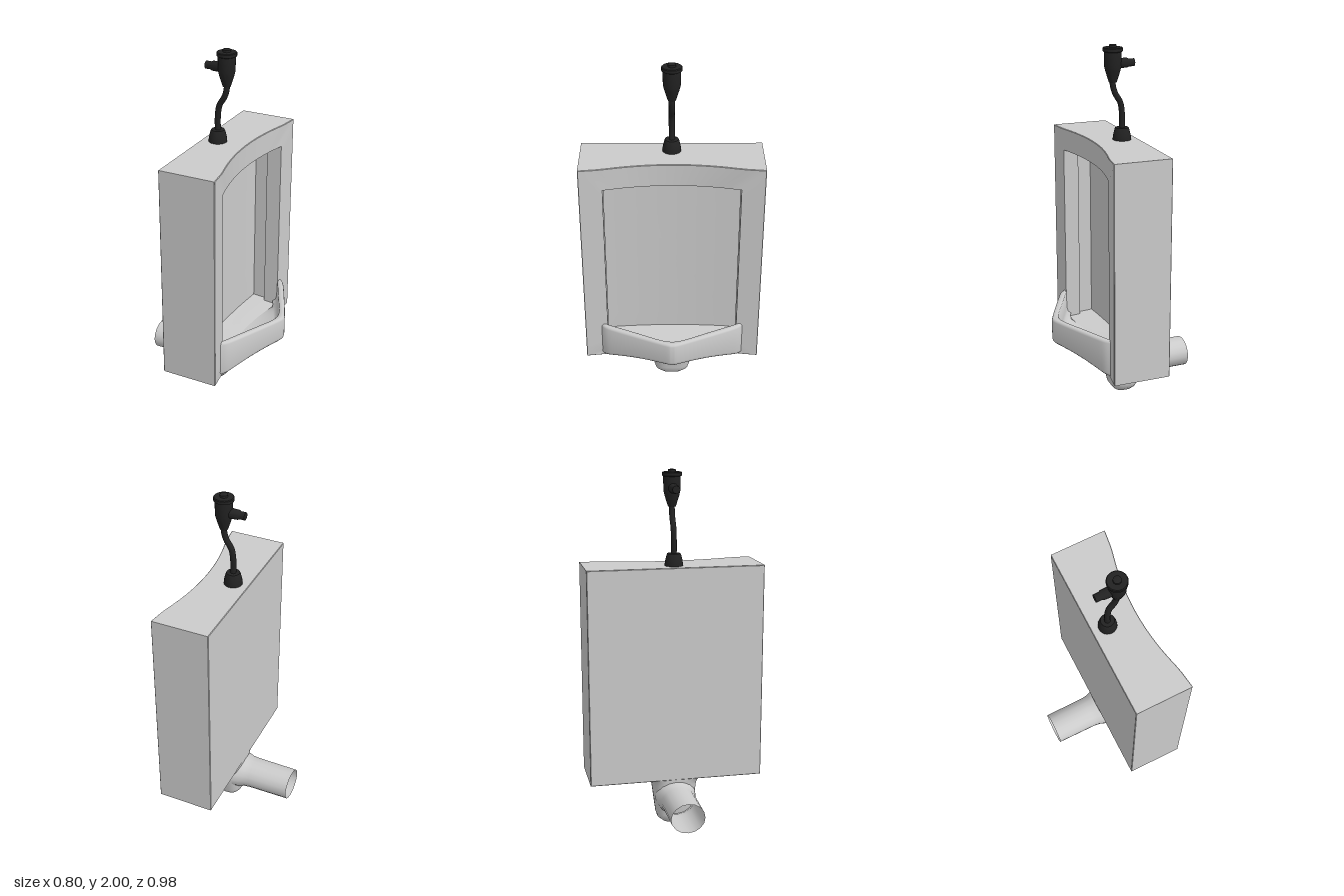
import * as THREE from 'three';
import { toCreasedNormals } from 'three/addons/utils/BufferGeometryUtils.js';

const ceramic = new THREE.MeshStandardMaterial({ color: 0xcccccc, side: THREE.DoubleSide });
const black = new THREE.MeshStandardMaterial({ color: 0x222222 });

// Skin a surface over rows of [x, y, z] points; closed joins each row into a ring
function loft(rows, closed, crease) {
  const n = rows[0].length, index = [];
  for (let j = 0; j < rows.length - 1; j++) {
    for (let i = 0; i < (closed ? n : n - 1); i++) {
      const k = (i + 1) % n, a = j * n + i, b = j * n + k;
      index.push(a, b, b + n, a, b + n, a + n);
    }
  }
  const g = new THREE.BufferGeometry();
  g.setAttribute('position', new THREE.Float32BufferAttribute(rows.flat(2), 3));
  g.setIndex(index);
  return toCreasedNormals(g, crease);
}

function add(group, name, geometry, material) {
  const mesh = new THREE.Mesh(geometry, material);
  mesh.name = name;
  group.add(mesh);
  return mesh;
}

// Depth of the concave front face across the width
function frontX(z) {
  const a = Math.abs(z);
  return a < 0.37 ? 0.147 + 0.052 * (a / 0.37) ** 2 : 0.199 + 0.016 * (a - 0.37) / 0.12;
}

// Rectangular ring in the y-z plane; xFn gives the depth at each z
function rectRing(hz, y0, y1, xFn) {
  const corners = [[hz, y0], [-hz, y0], [-hz, y1], [hz, y1]], ring = [], n = 20;
  corners.forEach(([z, y], s) => {
    const [z2, y2] = corners[(s + 1) % 4];
    for (let i = 0; i < n; i++) {
      const pz = z + (z2 - z) * i / n;
      ring.push([xFn(pz), y + (y2 - y) * i / n, pz]);
    }
  });
  return ring;
}

// Cabinet with bevelled edges, a front frame and a wider niche behind it
function bodyGeometry() {
  const b = 0.003, bottom = 0.272, top = 1.485, back = () => -0.105;
  const niche = z => 0.028 - 0.023 * (1 - (z / 0.395) ** 2);
  const ledge = z => frontX(z) - 0.086;
  const rows = [
    rectRing(0, 0.88, 0.88, back),
    rectRing(0.49 - b, bottom + b, top - b, back),
    rectRing(0.49, bottom, top, () => -0.105 + b),
    rectRing(0.49, bottom, top, z => frontX(z) - b),
    rectRing(0.49 - b, bottom + b, top - b, frontX),
    rectRing(0.365, 0.325, 1.36, frontX),
    rectRing(0.365, 0.332, 1.36, ledge),
    rectRing(0.395, 0.332, 1.39, ledge),
  ];
  for (const s of [1, 0.8, 0.6, 0.4, 0.2, 0]) {
    rows.push(rectRing(0.395 * s, 0.86 - 0.523 * s, 0.86 + 0.53 * s, niche));
  }
  return loft(rows, true, 0.5);
}

// Smooth plan curve from half of a symmetric outline of [x, z] points
function planCurve(half) {
  const all = [...half, ...half.slice(0, -1).reverse().map(([x, z]) => [x, -z])];
  return new THREE.CatmullRomCurve3(all.map(([x, z]) => new THREE.Vector3(x, 0, z)), false, 'catmullrom', 0.4).getPoints(48);
}

// Projecting basin: arched underside, outer wall, rounded rim, inner wall and floor
function basinGeometry() {
  const outer = planCurve([[0.199, 0.402], [0.238, 0.36], [0.316, 0.2], [0.38, 0.06], [0.4, 0]]);
  const inner = planCurve([[0.197, 0.365], [0.21, 0.34], [0.277, 0.2], [0.343, 0.065], [0.358, 0]]);
  const arch = z => 0.276 + 0.068 * (1 - (z / 0.402) ** 2);
  // Offset a plan curve inwards by d at height y above a base height
  const row = (pts, d, y, base = () => 0) => pts.map(p => [p.x - d, base(p.z) + y, p.z * (1 - d)]);
  return loft([
    outer.map(p => [frontX(p.z) - 0.01, 0.273, p.z]),
    outer.map(p => [(frontX(p.z) + p.x) / 2 - 0.01, 0.275 + (arch(p.z) - 0.276) * 0.42, p.z * 0.99]),
    row(outer, 0.025, -0.004, arch),
    row(outer, 0.011, 0.002, arch),
    row(outer, 0.003, 0.011, arch),
    row(outer, 0, 0.025, arch),
    row(outer, 0, 0.476),
    row(outer, 0.003, 0.485),
    row(outer, 0.01, 0.49),
    row(inner, -0.006, 0.49),
    row(inner, 0, 0.485),
    row(inner, 0.002, 0.385),
    row(inner, 0.008, 0.362),
    row(inner, 0.025, 0.348),
    inner.map(p => [frontX(p.z) - 0.003, 0.325, p.z]),
  ], false, 0.95);
}

// Rounded trap under the cabinet: [y, xMin, xMax, half width] per section
function trapGeometry() {
  const sections = [
    [0, -0.01, -0.01, 0], [0, -0.06, 0.03, 0.055], [0.006, -0.07, 0.042, 0.07],
    [0.03, -0.087, 0.06, 0.098], [0.055, -0.094, 0.065, 0.106], [0.2, -0.1, 0.081, 0.124],
    [0.235, -0.102, 0.086, 0.129], [0.253, -0.104, 0.095, 0.14], [0.265, -0.104, 0.106, 0.16],
    [0.274, -0.104, 0.122, 0.19],
  ];
  const soft = v => Math.sign(v) * Math.abs(v) ** 0.7;
  return loft(sections.map(([y, x0, x1, hz]) => Array.from({ length: 32 }, (_, i) => {
    const a = i / 32 * Math.PI * 2;
    return [(x0 + x1) / 2 + (x1 - x0) / 2 * soft(Math.cos(a)), y, -hz * soft(Math.sin(a))];
  })), true, 1.2);
}

function lathe(points, segments) {
  return toCreasedNormals(new THREE.LatheGeometry(points.map(p => new THREE.Vector2(...p)), segments), 0.6);
}

export function createModel() {
  const model = new THREE.Group();
  model.name = 'urinal';

  add(model, 'cabinet', bodyGeometry(), ceramic);
  add(model, 'basin', basinGeometry(), ceramic);
  add(model, 'trap', trapGeometry(), ceramic);

  // Open waste pipe running backwards, flared where it meets the trap
  const pipe = lathe([[0.118, 0.06], [0.111, 0.1], [0.101, 0.125], [0.097, 0.16], [0.095, 0.4]], 16);
  pipe.rotateZ(Math.PI / 2).scale(1, 0.88, 1).translate(0, 0.162, 0);
  add(model, 'wastePipe', pipe, ceramic);

  // Flush valve on top
  const valve = new THREE.Group();
  valve.name = 'flushValve';
  model.add(valve);

  const collar = add(valve, 'collar', lathe([[0, 1.483], [0.05, 1.483], [0.05, 1.495], [0.047, 1.515],
    [0.04, 1.543], [0.036, 1.552], [0, 1.552]], 24), black);
  collar.position.x = -0.017;

  const path = new THREE.CatmullRomCurve3([[-0.017, 1.53], [-0.017, 1.63], [-0.007, 1.69], [0.022, 1.74],
    [0.035, 1.785], [0.036, 1.83]].map(([x, y]) => new THREE.Vector3(x, y, 0)));
  add(valve, 'supplyTube', new THREE.TubeGeometry(path, 32, 0.016, 12), black);

  const head = add(valve, 'valveHead', lathe([[0, 1.8], [0.021, 1.8], [0.026, 1.815], [0.04, 1.86], [0.046, 1.885],
    [0.047, 1.962], [0.054, 1.966], [0.054, 1.982], [0.05, 1.986], [0.021, 1.986], [0.021, 1.998], [0.018, 2], [0, 2]], 24), black);
  head.position.x = 0.035;

  const arm = lathe([[0, 0], [0.029, 0], [0.026, 0.08], [0.021, 0.09], [0.021, 0.12], [0, 0.12]], 16);
  arm.rotateZ(Math.PI / 2);
  add(valve, 'inletArm', arm, black).position.set(0.035, 1.9, 0);

  return model;
}
